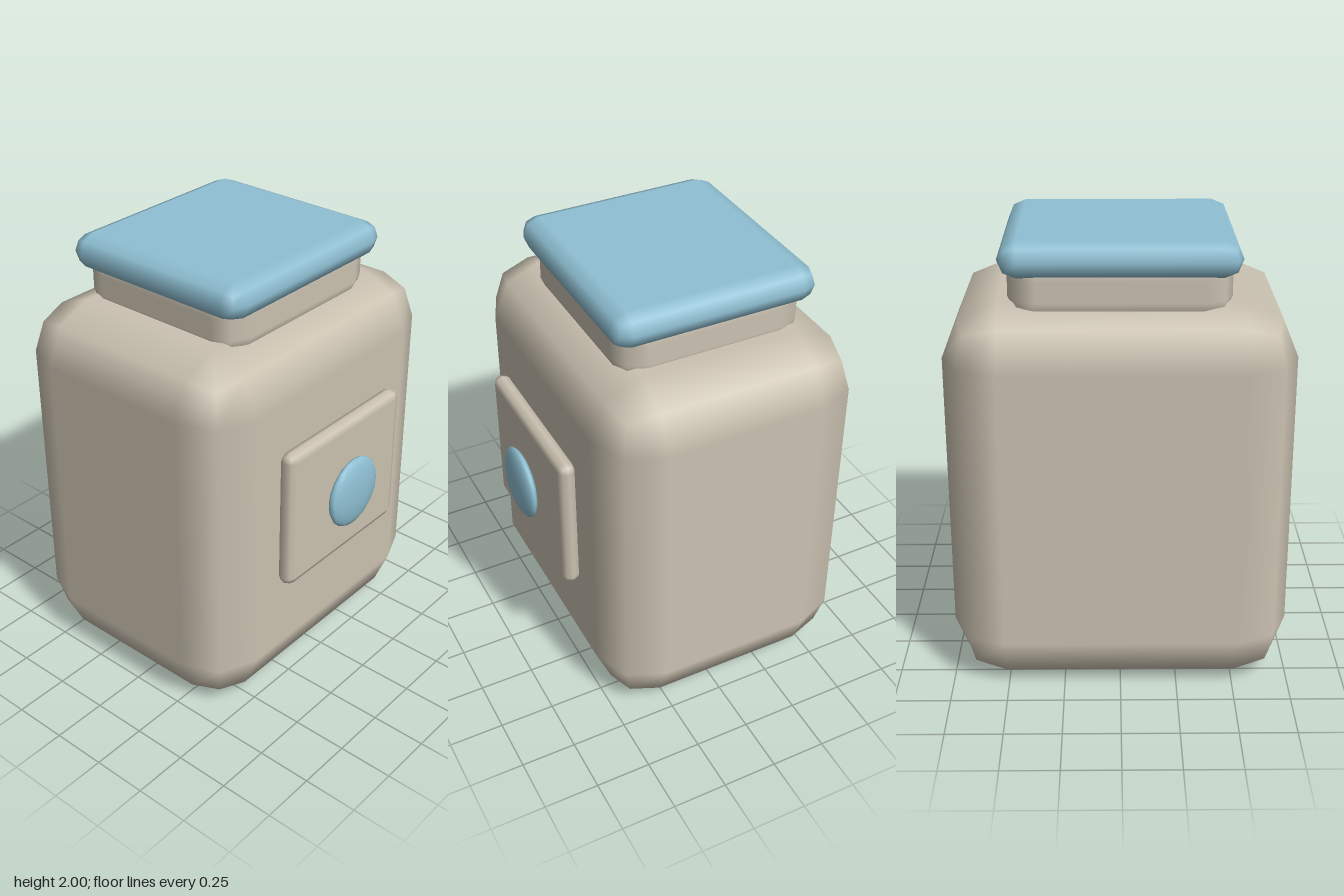
import * as THREE from 'three';
import { RoundedBoxGeometry } from 'three/addons/geometries/RoundedBoxGeometry.js';

export function createModel() {
  const group = new THREE.Group();
  const beige = new THREE.MeshStandardMaterial({ name: 'warm beige', color: 0xcbc2b1 });
  const blue = new THREE.MeshStandardMaterial({ name: 'soft blue', color: 0x8fc0d3 });

  // Low-poly rounded block: size, corner radius, centre
  const block = (name, size, radius, centre, material) => {
    const mesh = new THREE.Mesh(new RoundedBoxGeometry(...size, 1, radius), material);
    mesh.name = name;
    mesh.position.set(...centre);
    group.add(mesh);
  };

  // Jar body, neck and lid share one axis set slightly back
  const z = -0.08;
  block('body', [1.5, 1.73, 1.2], 0.24, [0, 0.865, z], beige);
  block('neck', [0.94, 0.33, 0.86], 0.12, [0, 1.79, z], beige);
  block('lid', [1.01, 0.16, 0.94], 0.08, [0, 1.92, z], blue);

  // Raised front label plate
  block('frontPlate', [0.78, 0.67, 0.08], 0.039, [0, 0.945, 0.563], beige);

  // Flattened round button on the plate
  const button = new THREE.Mesh(new THREE.SphereGeometry(1, 16, 10), blue);
  button.name = 'button';
  button.scale.set(0.167, 0.167, 0.04);
  button.position.set(0, 0.945, 0.64);
  group.add(button);

  return group;
}
